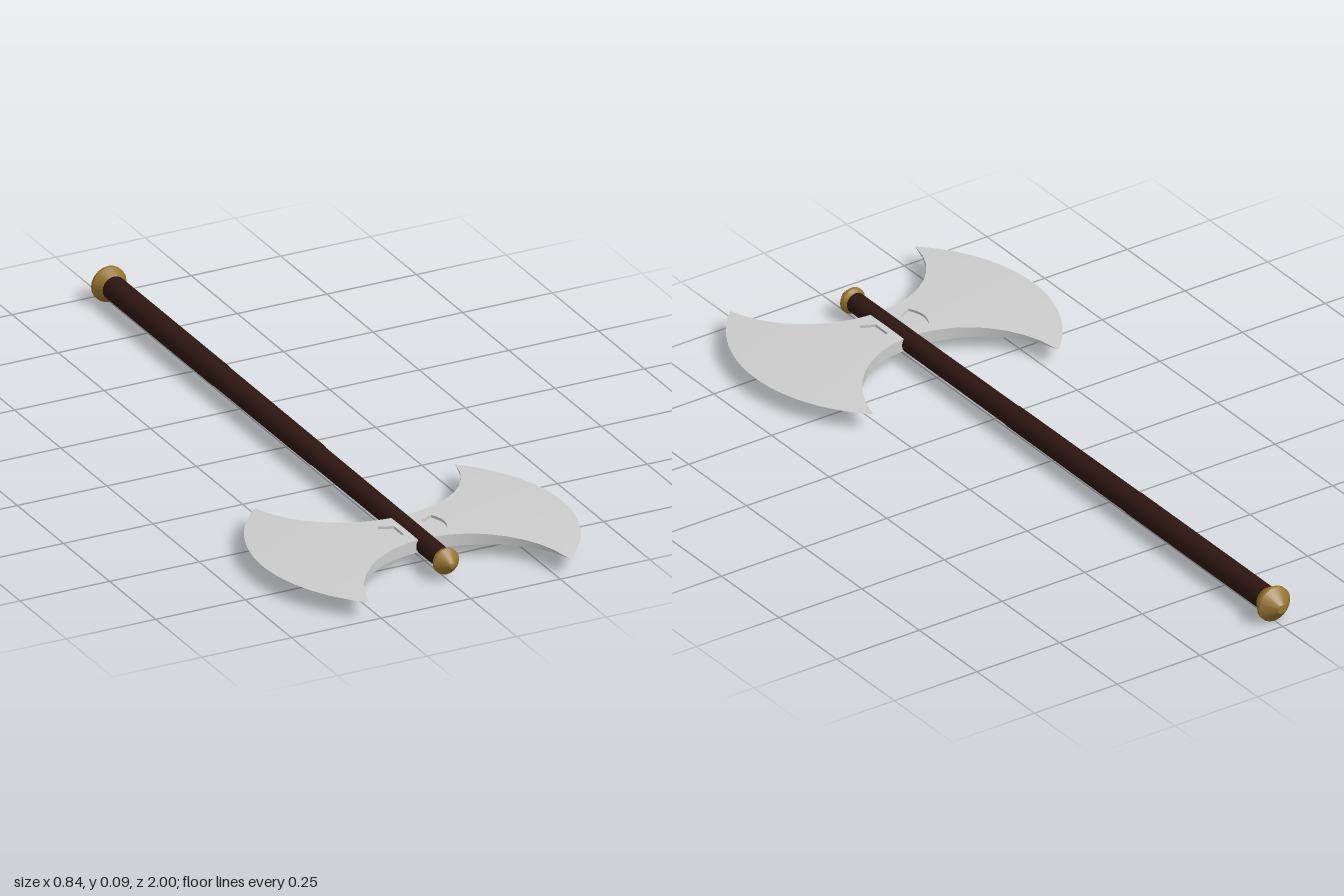
import * as THREE from 'three';
import { toCreasedNormals } from 'three/addons/utils/BufferGeometryUtils.js';

const AXIS_Y = 0.0485;      // height of the handle axis
const HEAD_Z = 0.685;       // centre of the blades
const R = 0.418;            // radius of the cutting edge
const HALF = 0.0175;        // half thickness at the middle
const NOTCH_R = 0.283, NOTCH_Z = 0.355;
const TIP_X = 0.2795;

const wood = new THREE.MeshStandardMaterial({ color: 0x2e1612 });
const brass = new THREE.MeshStandardMaterial({ color: 0x967430 });
const steel = new THREE.MeshStandardMaterial({ color: 0xcccccc, side: THREE.DoubleSide });

// Turned part along z; profile points are [radius, z]
function turned(name, profile, material, sides, crease) {
  const pts = profile.map(([r, z]) => new THREE.Vector2(r, z));
  const geo = toCreasedNormals(new THREE.LatheGeometry(pts, sides).rotateX(Math.PI / 2), crease);
  const mesh = new THREE.Mesh(geo, material);
  mesh.name = name;
  mesh.position.y = AXIS_Y;
  return mesh;
}

// Half width of the blade along z at a given x
function halfWidth(x) {
  return x < TIP_X
    ? NOTCH_Z - Math.sqrt(NOTCH_R * NOTCH_R - x * x)
    : Math.sqrt(Math.max(0, R * R - x * x));
}

// Lens-shaped thickness, sharp at the cutting edge
const lens = (x, z) => HALF * Math.max(0, 1 - (x * x + z * z) / (R * R));

// One blade: a grid of columns (x) and rows (z) with a sunken panel near the handle
function bladeGeometry(side) {
  const columns = [0, 0.02, 0.038, 0.05, 0.062, 0.074, 0.1, 0.13, 0.16, 0.19, 0.22, 0.245, 0.265, TIP_X];
  const tipAngle = Math.acos(TIP_X / R), arcSteps = 16;
  for (let i = 1; i <= arcSteps; i++) columns.push(R * Math.cos(tipAngle * (1 - i / arcSteps)));
  const rows = 12, panel = { x0: 2, x1: 5, z0: 3, z1: 9 };

  const point = (i, j) => {
    let x = columns[i];
    const v = (j / rows) * 2 - 1, a = Math.abs(v), w = halfWidth(x);
    // rows are drawn in so that the panel flares outward
    const flare = x < 0.074 ? 0.36 + (x - 0.038) * 5 : 0.54 - Math.min(0.04, (x - 0.074) * 0.5);
    const s = a <= 0.5 ? a * 2 * flare : flare + (a - 0.5) * 2 * (1 - flare);
    // rounded outer end of the panel
    const bow = { 4: 0.006, 5: 0.014, 6: 0.007 }[i] || 0;
    if (a < 0.5) x += bow * (1 - 4 * a * a);
    const z = Math.sign(v) * s * w;
    return [x, lens(x, z), z];
  };

  const positions = [];
  const quad = (a, b, c, d, sy) => {
    const order = side * sy > 0 ? [a, b, c, a, c, d] : [a, c, b, a, d, c];
    for (const p of order) positions.push(side * p[0], sy * p[1], p[2]);
  };
  const sink = ([x, y, z]) => [x, y - 0.007, z];
  const flat = ([x, , z]) => [x, 0, z];
  const inPanel = (i, j) => i >= panel.x0 && i < panel.x1 && j >= panel.z0 && j < panel.z1;

  for (const sy of [1, -1]) {
    for (let i = 0; i < columns.length - 1; i++) {
      for (let j = 0; j < rows; j++) {
        const a = point(i, j), b = point(i, j + 1), c = point(i + 1, j + 1), d = point(i + 1, j);
        if (!inPanel(i, j)) { quad(a, b, c, d, sy); continue; }
        // sunken floor and its walls
        quad(sink(a), sink(b), sink(c), sink(d), sy);
        if (!inPanel(i - 1, j)) quad(a, b, sink(b), sink(a), sy);
        if (!inPanel(i + 1, j)) quad(c, d, sink(d), sink(c), sy);
        if (!inPanel(i, j - 1)) quad(d, a, sink(a), sink(d), sy);
        if (!inPanel(i, j + 1)) quad(b, c, sink(c), sink(b), sy);
      }
      // concave sides of the blade
      if (columns[i] < TIP_X) {
        const n0 = point(i, 0), n1 = point(i + 1, 0), f0 = point(i, rows), f1 = point(i + 1, rows);
        quad(n0, n1, flat(n1), flat(n0), sy);
        quad(f1, f0, flat(f0), flat(f1), sy);
      }
    }
  }
  const geo = new THREE.BufferGeometry();
  geo.setAttribute('position', new THREE.Float32BufferAttribute(positions, 3));
  return toCreasedNormals(geo, 0.5);
}

export function createModel() {
  const model = new THREE.Group();
  model.name = 'doubleAxe';

  // Handle, slightly thicker at the grip
  model.add(turned('handle', [
    [0, -0.95], [0.032, -0.95], [0.032, -0.36], [0.031, -0.355], [0.03, 0.165],
    [0.0285, 0.17], [0.027, 0.87], [0, 0.87],
  ], wood, 20, 0.6));

  // Brass fittings at both ends
  model.add(turned('pommel', [
    [0, -1], [0.012, -0.998], [0.0475, -0.965], [0.0475, -0.957], [0.032, -0.932], [0, -0.932],
  ], brass, 20, 0.4));
  model.add(turned('endCap', [
    [0, 0.852], [0.028, 0.852], [0.035, 0.862], [0.035, 0.87], [0.007, 0.901], [0, 0.903],
  ], brass, 20, 0.4));

  // Two mirrored blades
  for (const side of [1, -1]) {
    const blade = new THREE.Mesh(bladeGeometry(side), steel);
    blade.name = side > 0 ? 'leftBlade' : 'rightBlade';
    blade.position.set(0, AXIS_Y, HEAD_Z);
    model.add(blade);
  }
  return model;
}
